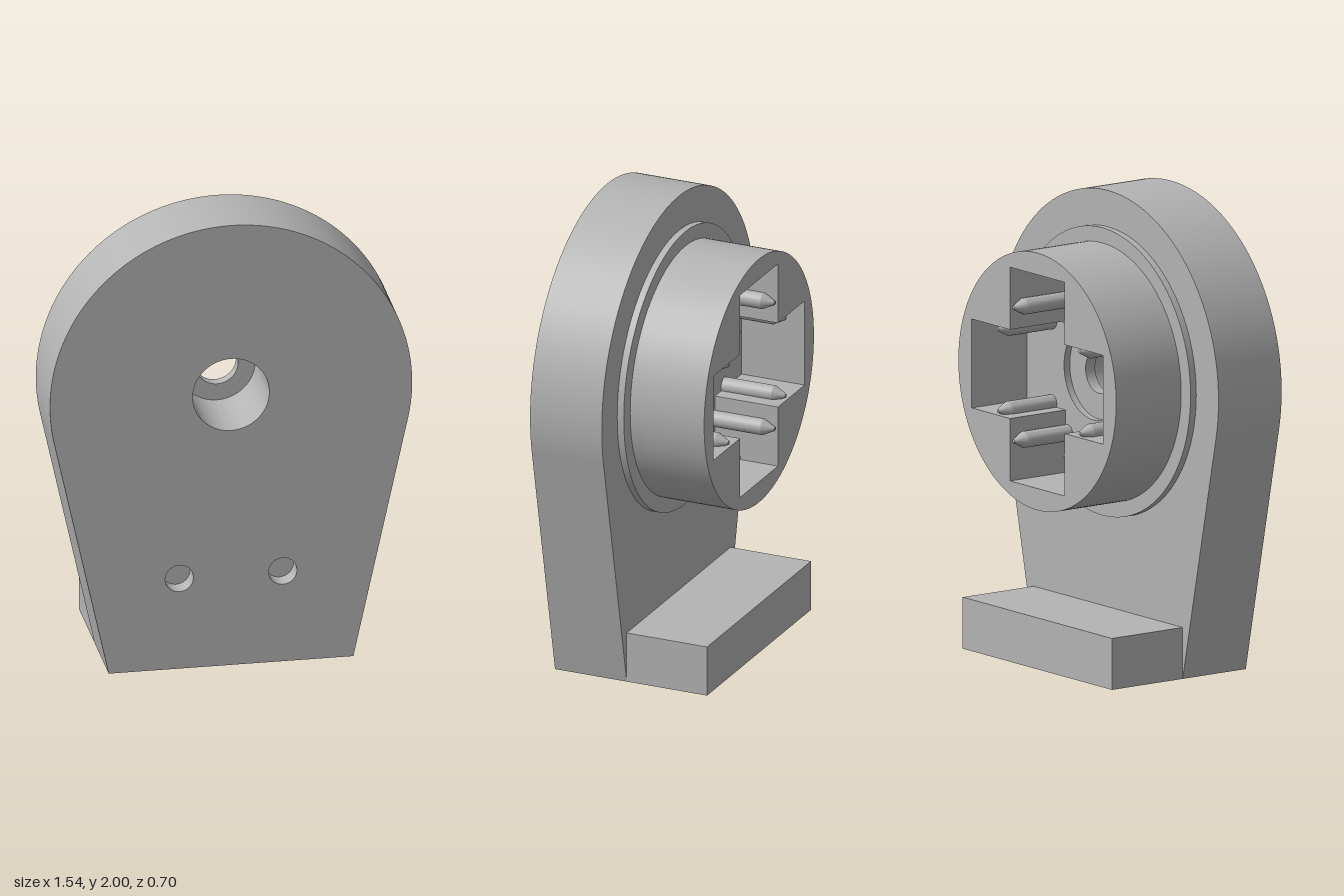
import * as THREE from 'three';
import { toCreasedNormals } from 'three/addons/utils/BufferGeometryUtils.js';

const CY = 1.23; // height of the round axis

export function createModel() {
  const model = new THREE.Group();
  model.name = 'socketBracket';
  const grey = new THREE.MeshStandardMaterial({ color: 0xb4b4b4 });
  grey.name = 'plainGrey';

  const add = (name, geometry, x = 0, y = 0, z = 0) => {
    const mesh = new THREE.Mesh(geometry, grey);
    mesh.name = name;
    mesh.position.set(x, y, z);
    model.add(mesh);
    return mesh;
  };

  // Flat slab of a shape between two z positions
  const slab = (name, shape, holes, z0, z1) => {
    shape.holes.push(...holes);
    const geo = new THREE.ExtrudeGeometry(shape, { depth: z1 - z0, bevelEnabled: false, curveSegments: 64 });
    return add(name, toCreasedNormals(geo, 0.5), 0, 0, z0);
  };
  const round = (Kind, r, x = 0, y = CY) => new Kind().absarc(x, y, r, 0, Math.PI * 2, false);
  const disc = (r) => round(THREE.Shape, r);
  const hole = (r, x, y) => round(THREE.Path, r, x, y);

  // Plate outline: round head with straight flanks tangent to it
  const plateShape = () => {
    const R = 0.77, w = 0.52;
    const a = Math.atan2(-CY, w) + Math.acos(R / Math.hypot(w, CY));
    const s = new THREE.Shape();
    s.moveTo(-w, 0);
    s.lineTo(w, 0);
    s.absarc(0, CY, R, a, Math.PI - a, false);
    s.closePath();
    return s;
  };
  const screwHoles = [-0.22, 0.22].map((x) => hole(0.06, x, 0.41));
  slab('plateFront', plateShape(), [hole(0.163), ...screwHoles], 0.27, 0.35);
  slab('plateBack', plateShape(), [hole(0.163)], 0.02, 0.27);

  // Foot behind the plate
  add('foot', new THREE.BoxGeometry(1.04, 0.22, 0.37), 0, 0.11, -0.165);

  // Cross-shaped socket opening
  const a = 0.19, b = 0.457;
  const cross = new THREE.Path([
    [a, a], [a, b], [-a, b], [-a, a], [-b, a], [-b, -a],
    [-a, -a], [-a, -b], [a, -b], [a, -a], [b, -a], [b, a],
  ].map(([x, y]) => new THREE.Vector2(x, CY + y)));
  cross.closePath();

  // Flange, web with centre hole, recess and socket drum
  slab('flange', disc(0.615), [hole(0.09)], -0.01, 0.02);
  slab('socketWeb', disc(0.55), [hole(0.09)], -0.03, -0.01);
  slab('socketRecess', disc(0.55), [hole(0.2)], -0.06, -0.03);
  slab('socketDrum', disc(0.55), [cross], -0.35, -0.06);

  // Pointed contact pins along the walls of the cross
  const profile = [[0, 0], [0.035, 0], [0.035, 0.23], [0.008, 0.282], [0, 0.285]]
    .map(([r, h]) => new THREE.Vector2(r, h));
  const pinGeo = toCreasedNormals(new THREE.LatheGeometry(profile, 20), 0.4);
  for (const sx of [-1, 1]) {
    for (const sy of [-1, 1]) {
      for (const [x, y] of [[0.175, 0.285], [0.285, 0.175]]) {
        add('contactPin', pinGeo, sx * x, CY + sy * y, -0.06).rotation.x = -Math.PI / 2;
      }
    }
  }
  return model;
}
